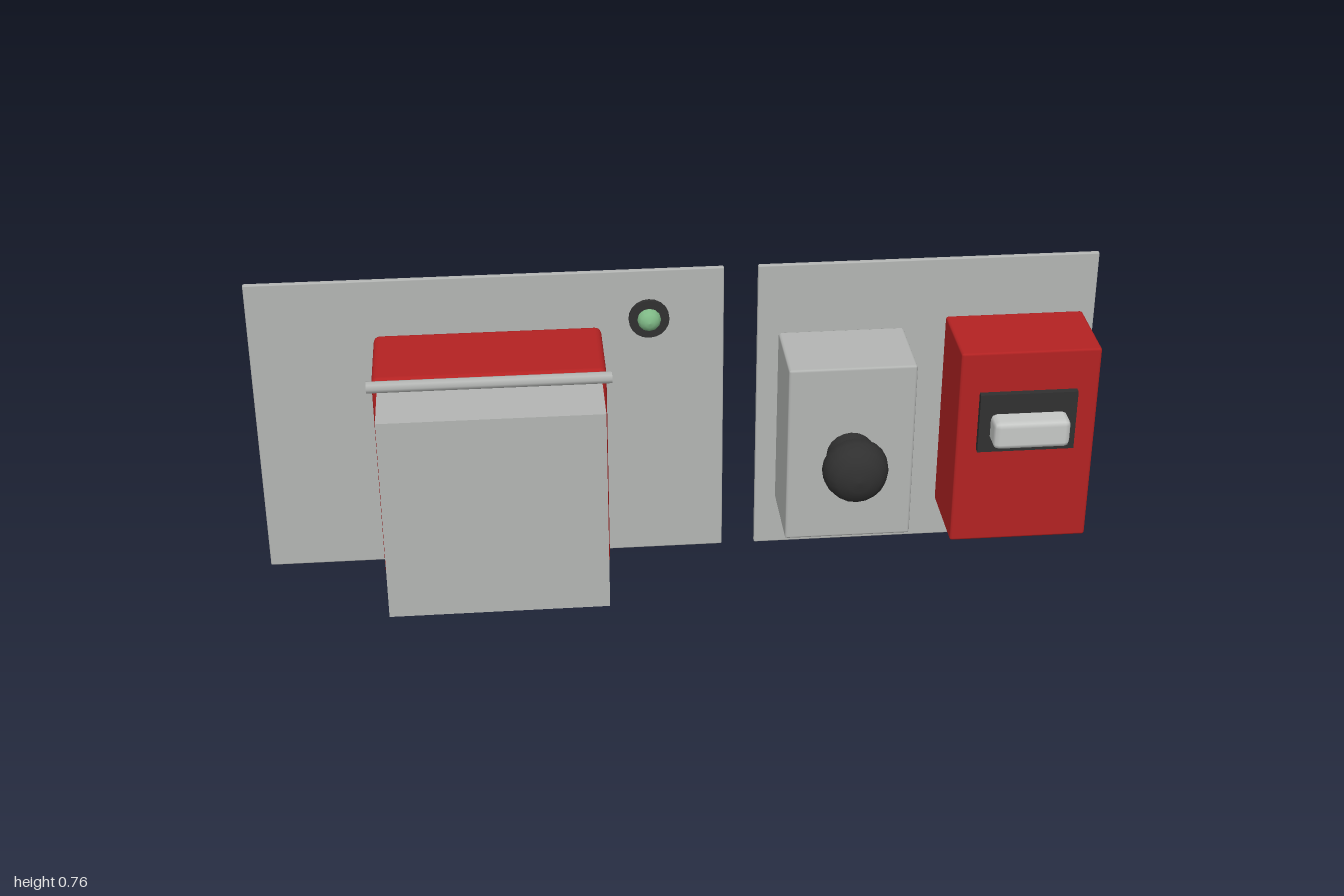
import * as THREE from 'three';
import { RoundedBoxGeometry } from 'three/addons/geometries/RoundedBoxGeometry.js';

const mat = (name, color) => Object.assign(new THREE.MeshStandardMaterial({ color }), { name });

export function createModel() {
  const model = new THREE.Group();
  model.name = 'wallControls';
  const grey = mat('panel grey', 0xb3b5b3);
  const light = mat('handle grey', 0xc6c8c6);
  const red = mat('housing red', 0xb32222);
  const dark = mat('black plastic', 0x303030);
  const green = mat('lamp green', 0x7fb986);

  const add = (name, geometry, material) => {
    const mesh = new THREE.Mesh(geometry, material);
    mesh.name = name;
    model.add(mesh);
    return mesh;
  };
  // Box given by its limits on each axis, with an optional rounded edge
  const box = (name, material, [x0, x1], [y0, y1], [z0, z1], r = 0, seg = 2) => {
    const size = [x1 - x0, y1 - y0, z1 - z0];
    const g = r ? new RoundedBoxGeometry(...size, seg, r) : new THREE.BoxGeometry(...size);
    add(name, g, material).position.set((x0 + x1) / 2, (y0 + y1) / 2, (z0 + z1) / 2);
  };
  // Turned part whose axis points forward: profile of [radius, depth]
  const turned = (name, material, profile, sides, x, y, z) => {
    const g = new THREE.LatheGeometry(profile.map(p => new THREE.Vector2(...p)), sides);
    g.rotateX(Math.PI / 2);
    add(name, g, material).position.set(x, y, z);
  };

  // Back panels
  box('widePanel', grey, [-1, 0.11], [0, 0.757], [-0.21, -0.197], 0.003, 1);
  box('narrowPanel', grey, [0.19, 1], [0, 0.757], [-0.21, -0.197], 0.003, 1);

  // Large housing with a hinged cover, open below and behind
  box('largeHousing', red, [-0.71, -0.18], [0.09, 0.62], [-0.197, 0.03], 0.015);
  const cx = [-0.697, -0.192], cy = [0.103, 0.607], cz = [0.03, 0.212], t = 0.009;
  box('coverFront', grey, cx, cy, [cz[1] - t, cz[1]]);
  box('coverTop', grey, cx, [cy[1] - t, cy[1]], [cz[0], cz[1] - t]);
  for (const [name, x] of [['coverRightSide', cx[0]], ['coverLeftSide', cx[1] - t]]) {
    box(name, grey, [x, x + t], [cy[0], cy[1] - t], [cz[0], cz[1] - t]);
  }
  const hinge = new THREE.CylinderGeometry(0.014, 0.014, 0.55, 8);
  hinge.rotateZ(Math.PI / 2);
  add('hingeRod', hinge, grey).position.set(-0.445, 0.618, 0.061);

  // Indicator lamp
  turned('lampBezel', dark, [[0, 0], [0.048, 0], [0.048, 0], [0.048, 0.01], [0.048, 0.01], [0, 0.01]],
    20, -0.067, 0.635, -0.197);
  turned('lampDome', green, [[0.028, 0], [0.027, 0.008], [0.021, 0.018], [0.011, 0.024], [0, 0.026]],
    12, -0.067, 0.635, -0.188);

  // Push button box
  box('buttonBox', grey, [0.24, 0.54], [0.13, 0.583], [-0.197, 0.003], 0.006, 1);
  turned('buttonStem', dark, [[0.057, 0], [0.057, 0.05], [0.057, 0.05], [0.045, 0.053], [0.045, 0.06]],
    20, 0.39, 0.357, 0.003);
  turned('buttonHead', dark, [[0, 0], [0.07, 0], [0.07, 0], [0.077, 0.012], [0.076, 0.032],
    [0.068, 0.055], [0.051, 0.073], [0.027, 0.083], [0, 0.086]], 20, 0.39, 0.357, 0.055);

  // Small red box with its switch handle
  box('switchBox', red, [0.64, 0.97], [0.103, 0.608], [-0.197, 0.004], 0.006, 1);
  box('switchPlate', dark, [0.688, 0.918], [0.355, 0.506], [0.002, 0.02]);
  box('switchHandle', light, [0.714, 0.895], [0.386, 0.457], [0.01, 0.072], 0.014, 1);

  return model;
}
